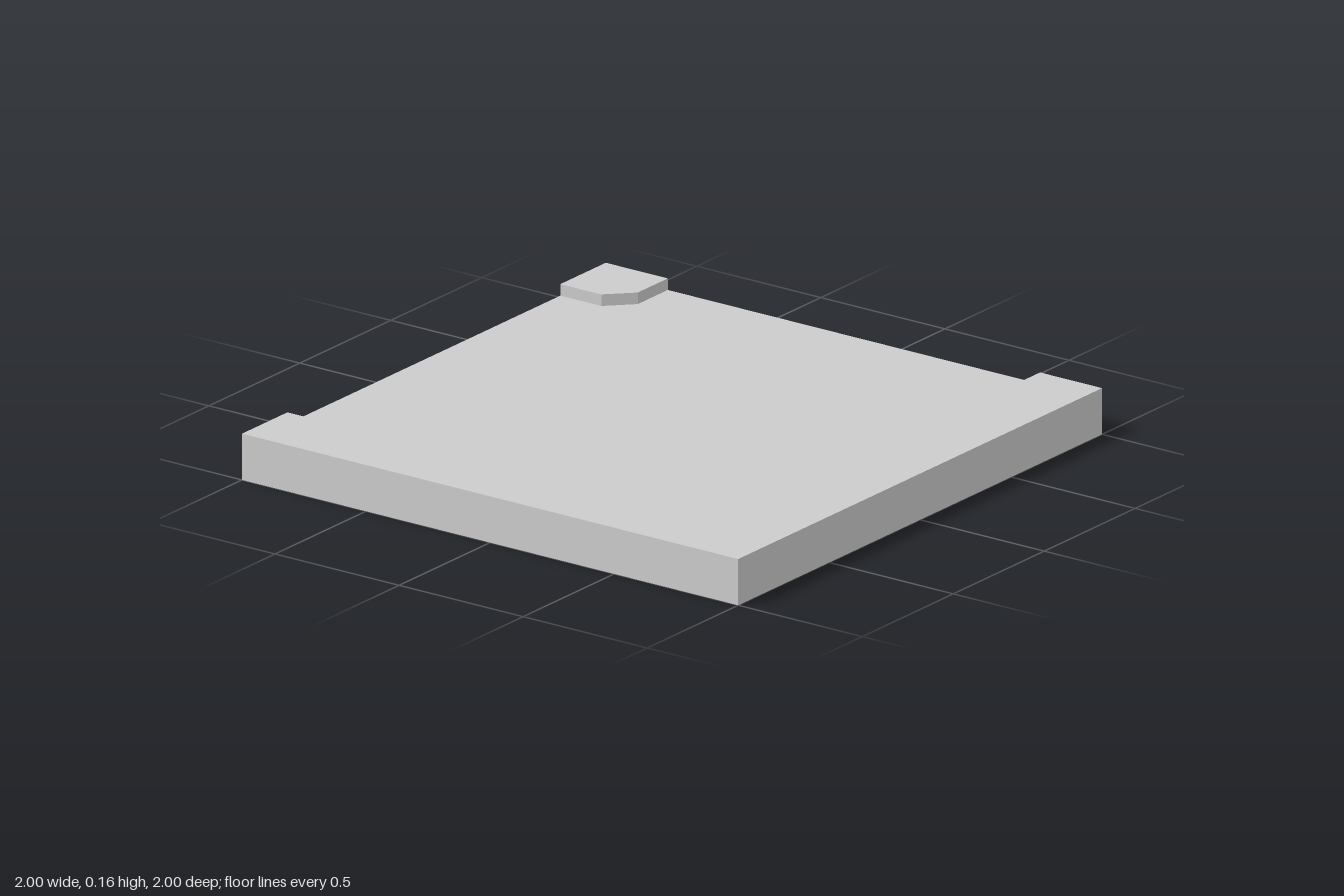
import * as THREE from 'three';

const FLOOR = 0.12; // height of the recessed floor
const TOP = 0.16; // height of the raised edges

export function createModel() {
  const group = new THREE.Group();
  const material = new THREE.MeshStandardMaterial({ color: 0xcccccc, flatShading: true });

  // Extrudes a plan outline of [x, z] points from height y0 to y1
  function slab(name, outline, y0, y1) {
    const shape = new THREE.Shape(outline.map(([x, z]) => new THREE.Vector2(x, -z)));
    const geometry = new THREE.ExtrudeGeometry(shape, { depth: y1 - y0, bevelEnabled: false });
    geometry.rotateX(-Math.PI / 2).translate(0, y0, 0);
    const mesh = new THREE.Mesh(geometry, material);
    mesh.name = name;
    group.add(mesh);
  }

  // Square base whose top is the recessed floor
  slab('base', [[-1, 1], [1, 1], [1, -1], [-1, -1]], 0, FLOOR);

  // L-shaped raised border along the front and left edges
  slab('raisedBorder', [[-1, 1], [1, 1], [1, -1], [0.75, -1], [0.75, 0.75], [-1, 0.75]], FLOOR, TOP);

  // Raised block with a clipped corner at the back right
  slab('cornerBlock', [[-1, -0.75], [-0.835, -0.75], [-0.75, -0.835], [-0.75, -1], [-1, -1]], FLOOR, TOP);

  return group;
}
